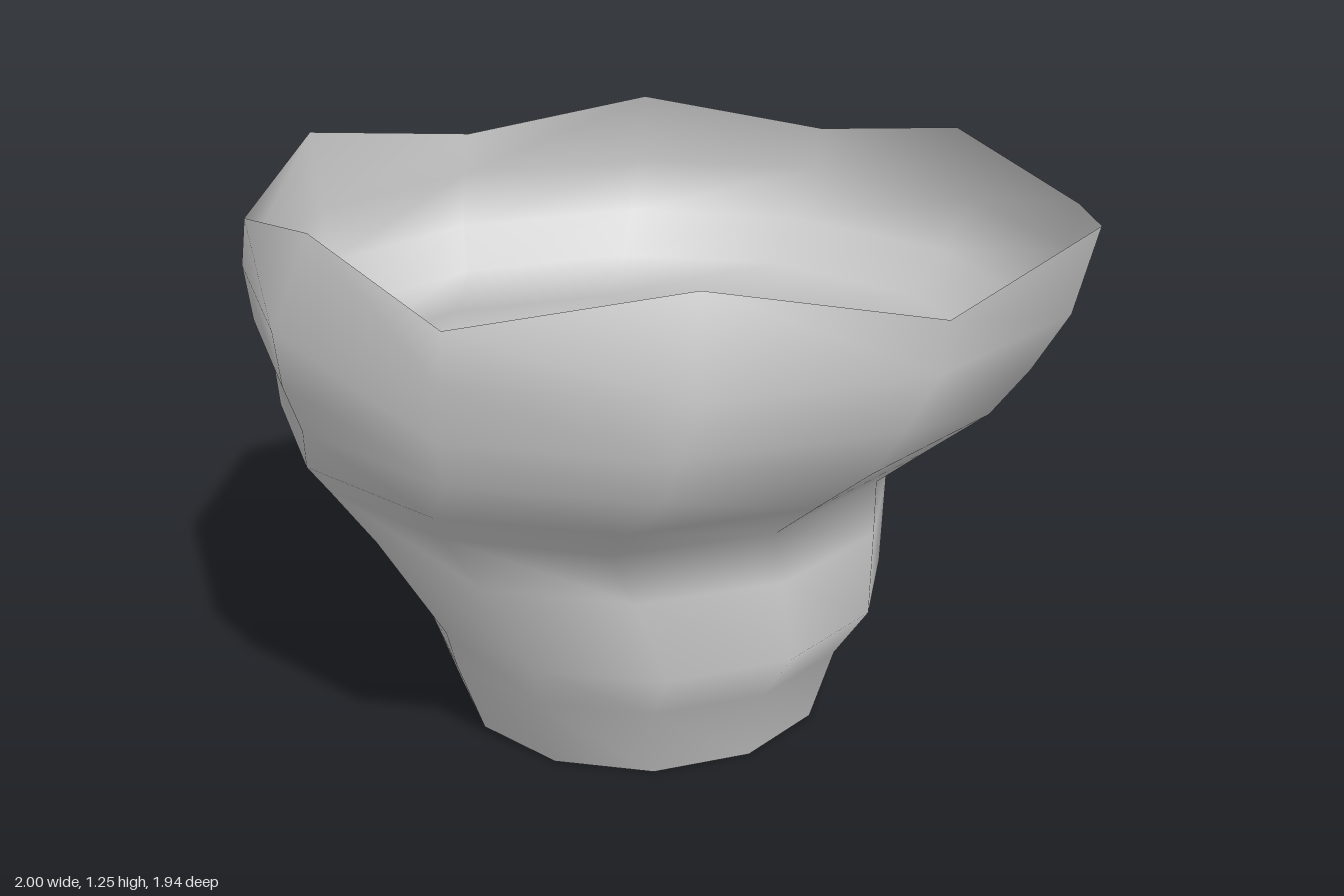
import * as THREE from 'three';

const SIDES = 12;

// Rings from the foot upward: [height, centre x, centre z, radius, tilt along x]
const RINGS = [
  [0.00, -0.015, 0.11, 0.447, 0],
  [0.19, -0.015, 0.12, 0.507, 0],
  [0.30, 0.015, 0.12, 0.557, 0.02],
  [0.48, -0.11, 0.035, 0.657, -0.015],
  [0.62, -0.155, 0.055, 0.71, -0.015],
  [0.735, -0.085, 0.12, 0.775, 0],
  [0.84, -0.02, 0.11, 0.84, 0],
  [0.925, -0.035, 0.03, 0.917, 0],
  [1.055, -0.01, 0.01, 0.965, 0],
];

// Zigzag rim: peaks every 60 degrees, valleys between them
function rimPoint(j) {
  const a = (j / SIDES) * Math.PI * 2;
  const peak = j % 2 === 0;
  const r = !peak ? 0.965 : j % 6 === 0 ? 1 : 0.887;
  return [r * Math.cos(a), peak ? 1.25 : 1.165, r * Math.sin(a)];
}

function ringPoint([y, cx, cz, r, tilt], j) {
  const a = (j / SIDES) * Math.PI * 2;
  const c = Math.cos(a);
  return [cx + r * c, y + tilt * c * 0.6, cz + r * Math.sin(a)];
}

export function createModel() {
  const positions = [];
  const index = [];

  for (const ring of RINGS) {
    for (let j = 0; j < SIDES; j++) positions.push(...ringPoint(ring, j));
  }
  for (let j = 0; j < SIDES; j++) positions.push(...rimPoint(j));

  // Join neighbouring rings into one open wall
  for (let i = 0; i < RINGS.length; i++) {
    for (let j = 0; j < SIDES; j++) {
      const k = (j + 1) % SIDES;
      const a = i * SIDES + j, b = i * SIDES + k;
      const c = a + SIDES, d = b + SIDES;
      index.push(a, c, d, a, d, b);
    }
  }

  const geometry = new THREE.BufferGeometry();
  geometry.setAttribute('position', new THREE.Float32BufferAttribute(positions, 3));
  geometry.setIndex(index);
  geometry.computeVertexNormals();

  const wall = new THREE.Mesh(
    geometry,
    new THREE.MeshStandardMaterial({ color: 0xcccccc, side: THREE.DoubleSide })
  );
  wall.name = 'funnelWall';

  const group = new THREE.Group();
  group.name = 'openFunnel';
  group.add(wall);
  return group;
}
